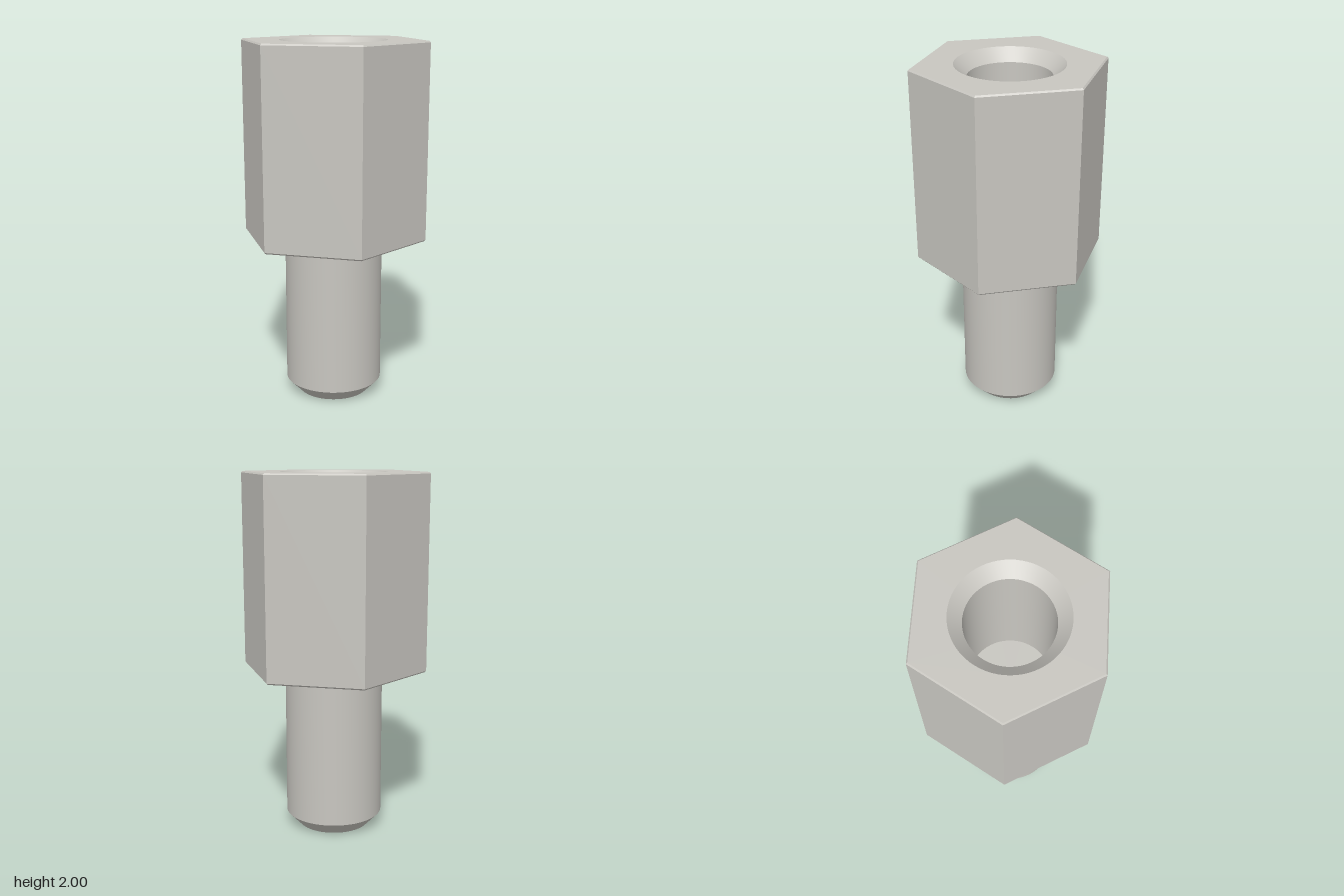
import * as THREE from 'three';
import { toCreasedNormals } from 'three/addons/utils/BufferGeometryUtils.js';

const HEX_R = 0.522, HEX_BOTTOM = 0.915, TOP = 2, BEVEL = 0.008;
const STUD_R = 0.272, STUD_TIP_R = 0.2, STUD_BEVEL = 0.075;
const RIM_R = 0.29, HOLE_R = 0.223, HOLE_FLOOR = 1.2;

// Revolve [radius, height] pairs; upward runs face outwards, downward runs inwards
function revolve(profile, sides) {
  const points = profile.map(([r, y]) => new THREE.Vector2(r, y));
  return toCreasedNormals(new THREE.LatheGeometry(points, sides, Math.PI / 2), 0.4);
}

export function createModel() {
  const group = new THREE.Group();
  group.name = 'hexStandoff';
  const metal = new THREE.MeshStandardMaterial({ color: 0xc8c6c0 });
  metal.name = 'metal';

  const add = (name, geometry) => {
    const mesh = new THREE.Mesh(geometry, metal);
    mesh.name = name;
    group.add(mesh);
  };

  // Six-sided body with fine bevels at both ends
  const inner = HEX_R - BEVEL;
  add('hexBody', revolve([
    [0, HEX_BOTTOM], [inner, HEX_BOTTOM], [HEX_R, HEX_BOTTOM + BEVEL],
    [HEX_R, TOP - BEVEL], [inner, TOP],
  ], 6));

  // Top face, open for the hole
  const hexagon = Array.from({ length: 6 }, (_, i) => {
    const a = (i * Math.PI) / 3;
    return new THREE.Vector2(inner * Math.cos(a), inner * Math.sin(a));
  });
  const face = new THREE.Shape(hexagon);
  face.holes.push(new THREE.Path().absarc(0, 0, RIM_R, 0, Math.PI * 2, true));
  add('topFace', new THREE.ShapeGeometry(face, 32).rotateX(-Math.PI / 2).translate(0, TOP, 0));

  // Countersunk blind hole
  add('hole', revolve([
    [RIM_R, TOP], [HOLE_R, TOP - (RIM_R - HOLE_R)], [HOLE_R, HOLE_FLOOR], [0, HOLE_FLOOR],
  ], 64));

  // Round stud with a bevelled tip
  add('stud', revolve([
    [0, 0], [STUD_TIP_R, 0], [STUD_R, STUD_BEVEL], [STUD_R, HEX_BOTTOM],
  ], 64));

  return group;
}
